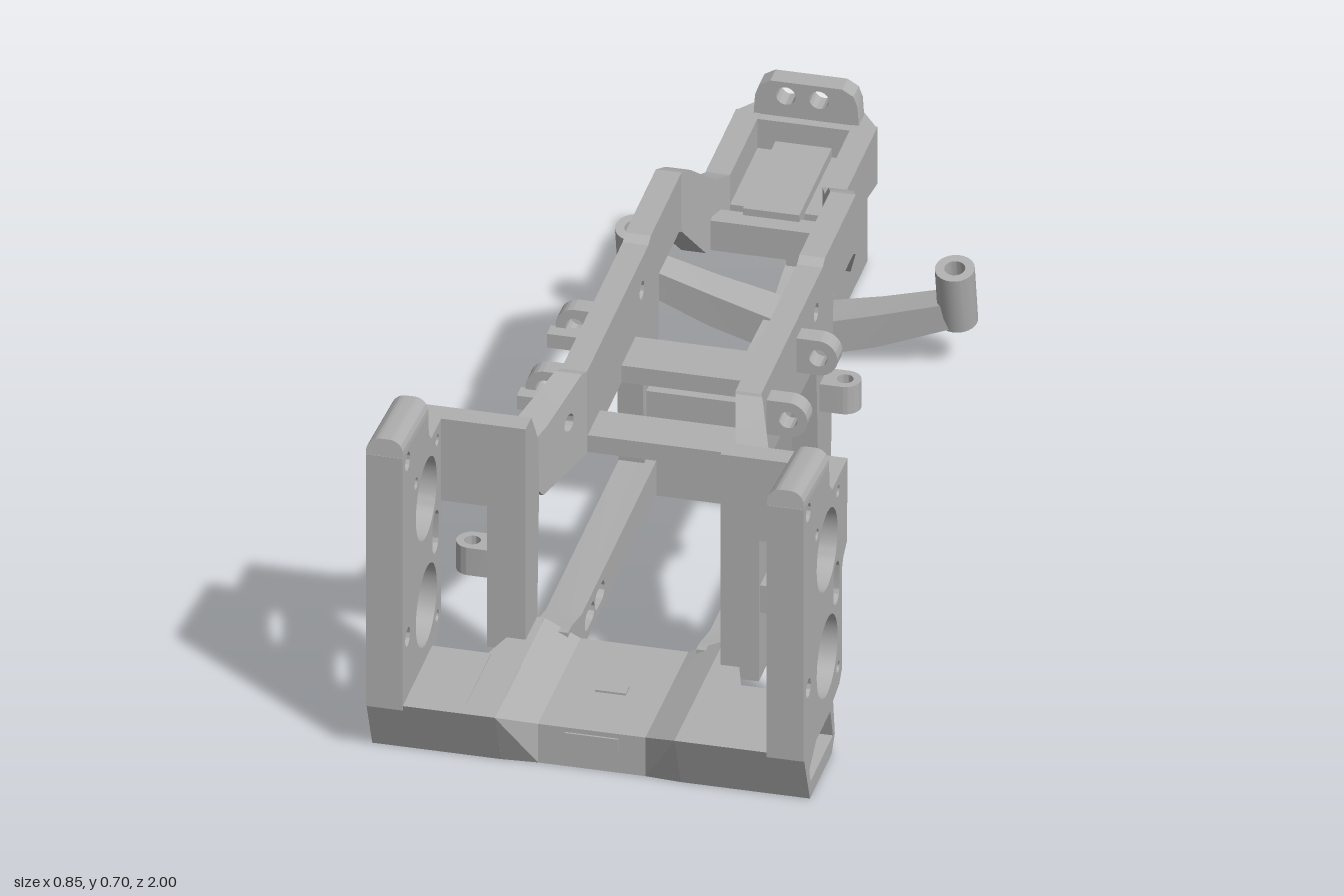
import * as THREE from 'three';
import { toCreasedNormals, mergeVertices } from 'three/addons/utils/BufferGeometryUtils.js';

const grey = new THREE.MeshStandardMaterial({ color: 0xb0b0b0 });
grey.name = 'chassis grey';

export function createModel() {
  const model = new THREE.Group();
  model.name = 'truckChassis';

  const add = (name, geo) => {
    const mesh = new THREE.Mesh(toCreasedNormals(geo, 0.4), grey);
    mesh.name = name;
    model.add(mesh);
  };

  // mirrored copy across x with corner order swapped
  const mirrored = (geo) => {
    const g = geo.index ? geo.toNonIndexed() : geo.clone();
    const p = g.attributes.position;
    const v = [0, 1, 2].map(() => new THREE.Vector3());
    for (let i = 0; i < p.count; i += 3) {
      v.forEach((q, k) => q.fromBufferAttribute(p, i + k));
      [0, 2, 1].forEach((s, k) => p.setXYZ(i + k, -v[s].x, v[s].y, v[s].z));
    }
    return g;
  };
  const pair = (name, geo) => {
    add(name + 'Left', geo);
    add(name + 'Right', mirrored(geo));
  };

  const box = (x0, x1, y0, y1, z0, z1) =>
    new THREE.BoxGeometry(x1 - x0, y1 - y0, z1 - z0)
      .translate((x0 + x1) / 2, (y0 + y1) / 2, (z0 + z1) / 2);

  const vec = (pts) => pts.map((q) => new THREE.Vector2(...q));
  const circle = (x, y, r) => new THREE.Path().absarc(x, y, r, 0, Math.PI * 2, true);
  const slot = (x, y, w, h) => {
    const r = Math.min(w, h) / 2, dx = w / 2 - r, dy = h / 2 - r, q = Math.PI / 2;
    const p = new THREE.Path();
    p.absarc(x + dx, y + dy, r, 0, q, false);
    p.absarc(x - dx, y + dy, r, q, 2 * q, false);
    p.absarc(x - dx, y - dy, r, 2 * q, 3 * q, false);
    p.absarc(x + dx, y - dy, r, 3 * q, 4 * q, false);
    p.closePath();
    return p;
  };
  const extrude = (shape, depth) =>
    new THREE.ExtrudeGeometry(shape, { depth, bevelEnabled: false, curveSegments: 24 });

  // side profile of [z, y] points; inner and outer are the x at any z
  const panel = (pts, inner, outer, holes = []) => {
    const outline = vec(pts.map(([z, y]) => [-z, y]));
    if (THREE.ShapeUtils.isClockWise(outline)) outline.reverse();
    const shape = new THREE.Shape(outline);
    shape.holes = holes;
    const g = extrude(shape, 1).rotateY(Math.PI / 2);
    const p = g.attributes.position;
    const at = (f, z) => (typeof f === 'function' ? f(z) : f);
    for (let i = 0; i < p.count; i++) {
      const z = p.getZ(i);
      p.setX(i, THREE.MathUtils.lerp(at(inner, z), at(outer, z), p.getX(i)));
    }
    return g;
  };
  const slope = (z0, x0, z1, x1) => (z) => x0 + ((x1 - x0) * (z - z0)) / (z1 - z0);

  // skin over rings of [x, y, z] corners, turned outward by signed volume
  const loft = (rings) => {
    const n = rings[0].length, tris = [];
    for (let r = 0; r + 1 < rings.length; r++)
      for (let i = 0; i < n; i++) {
        const j = (i + 1) % n, a = rings[r], b = rings[r + 1];
        tris.push([a[i], a[j], b[j]], [a[i], b[j], b[i]]);
      }
    const last = rings[rings.length - 1];
    for (let i = 1; i + 1 < n; i++)
      tris.push([rings[0][0], rings[0][i + 1], rings[0][i]], [last[0], last[i], last[i + 1]]);
    let volume = 0;
    for (const t of tris) {
      const [a, b, c] = t.map((q) => new THREE.Vector3(...q));
      volume += a.dot(b.cross(c));
    }
    if (volume < 0) tris.forEach((t) => t.reverse());
    const g = new THREE.BufferGeometry();
    g.setAttribute('position', new THREE.Float32BufferAttribute(tris.flat(2), 3));
    return mergeVertices(g);
  };
  const rectZ = (z, w, y0, y1) => [[-w, y0, z], [w, y0, z], [w, y1, z], [-w, y1, z]];
  const halfY = (y, wf, zf, wb, zb) => [[0, y, zf], [wf, y, zf], [wb, y, zb], [0, y, zb]];

  // straight upper rails with the middle posts
  pair('upperRail', panel(
    [[0.4, 0.54], [-0.08, 0.54], [-0.1, 0.55], [-0.34, 0.55], [-0.34, 0.42], [-0.32, 0.43], [-0.165, 0.43],
      [-0.145, 0.06], [-0.05, 0.06], [-0.03, 0.36], [0.4, 0.36]],
    0.145, 0.195, [circle(0.03, 0.47, 0.018)]));

  // rails flaring outward at the front
  pair('railFlare', panel(
    [[0.6, 0.5], [0.555, 0.505], [0.42, 0.545], [0.4, 0.54], [0.4, 0.36], [0.57, 0.36], [0.6, 0.39]],
    slope(0.4, 0.145, 0.6, 0.195), slope(0.4, 0.195, 0.6, 0.265), [circle(-0.47, 0.465, 0.018)]));

  // rails pinching in and running to the tail
  pair('railPinch', panel(
    [[-0.34, 0.55], [-0.37, 0.54], [-0.45, 0.475], [-0.5, 0.46], [-0.5, 0.335], [-0.42, 0.33], [-0.34, 0.42]],
    slope(-0.34, 0.145, -0.5, 0.09), slope(-0.34, 0.195, -0.5, 0.135)));
  pair('rearRail', panel(
    [[-0.5, 0.46], [-0.74, 0.46], [-0.74, 0.335], [-0.65, 0.35], [-0.5, 0.335]], 0.09, 0.138));

  // front posts and the cross walls behind the side plates
  pair('frontPost', panel(
    [[0.7, 0.09], [0.7, 0.58], [0.655, 0.58], [0.6, 0.5], [0.595, 0.38], [0.61, 0.09]], 0.19, 0.265));
  pair('frontWall', box(0.26, 0.36, 0.4, 0.58, 0.655, 0.7));

  // drilled side plates with rounded top caps
  pair('sidePlate', panel(
    [[1, 0.11], [1, 0.665], [0.8, 0.645], [0.795, 0.6], [0.775, 0.58], [0.655, 0.58], [0.66, 0.4],
      [0.69, 0.38], [0.7, 0.36], [0.7, 0.14], [0.72, 0.12], [0.77, 0.11]],
    0.355, 0.427, [
      circle(-0.815, 0.47, 0.082), circle(-0.815, 0.235, 0.082), slot(-0.743, 0.355, 0.048, 0.09),
      circle(-0.962, 0.637, 0.019), circle(-0.962, 0.25, 0.019), circle(-0.895, 0.55, 0.012),
      circle(-0.73, 0.55, 0.012), circle(-0.73, 0.163, 0.012)]));
  const cap = new THREE.Shape();
  cap.moveTo(0.355, -0.001);
  cap.lineTo(0.427, -0.001);
  cap.absarc(0.399, 0.008, 0.028, 0, Math.PI / 2, false);
  cap.absarc(0.383, 0.008, 0.028, Math.PI / 2, Math.PI, false);
  pair('plateCap', extrude(cap, 0.2).rotateX(-0.1).translate(0, 0.645, 0.8));

  // front tray: hollow ends, inner shoulders and a dipped middle
  pair('trayEnd', panel(
    [[1, 0.12], [0.95, 0], [0.78, 0], [0.755, 0.03], [0.77, 0.12]], 0.24, 0.427,
    [new THREE.Path(vec([[-0.955, 0.065], [-0.9, 0.1], [-0.79, 0.1], [-0.77, 0.035], [-0.945, 0.035]]))]));
  pair('trayShoulder', panel(
    [[1, 0.12], [0.95, 0], [0.62, 0], [0.61, 0.115]], 0.175, slope(0.61, 0.2, 0.76, 0.245)));
  const trayRing = (x, zt, zb, y) => [[x, y, zt], [x, 0, zb], [x, 0, 0.61], [x, y - 0.005, 0.61]];
  pair('trayRamp', loft([trayRing(-0.176, 1, 0.95, 0.12), trayRing(-0.105, 0.945, 0.945, 0.085)]));
  add('tray', loft([trayRing(-0.105, 0.945, 0.945, 0.085), trayRing(0.105, 0.945, 0.945, 0.085)]));
  add('traySlotPlate', box(-0.03, 0.03, 0.08, 0.087, 0.77, 0.8));
  add('frontSlotPlate', box(-0.052, 0.052, 0.044, 0.075, 0.941, 0.949));

  // slotted lower rails
  pair('lowerRail', panel(
    [[0.63, 0.1], [0.6, 0.098], [0.52, 0.078], [-0.1, 0.078], [-0.155, 0.07], [-0.155, 0], [0.63, 0]],
    0.125, 0.195, [slot(-0.46, 0.038, 0.075, 0.038), slot(-0.38, 0.038, 0.075, 0.038)]));

  // middle web and the narrow rear spine
  add('crossWeb', box(-0.146, 0.146, 0, 0.228, -0.15, -0.065));
  add('spine', loft([rectZ(-0.15, 0.19, 0, 0.072), rectZ(-0.21, 0.1, 0, 0.078),
    rectZ(-0.25, 0.06, 0, 0.08), rectZ(-0.7, 0.055, 0, 0.075), rectZ(-0.8, 0.055, 0, 0.1)]));

  // cross bars joining the upper rails
  for (const [z0, z1] of [[0.02, 0.13], [0.3, 0.395]]) add('crossBar', box(-0.147, 0.147, 0.36, 0.397, z0, z1));
  add('rearCrossBar', box(-0.11, 0.11, 0.335, 0.4, -0.47, -0.425));

  // rear deck, its end wall and the drilled tower
  add('rearDeck', box(-0.1, 0.1, 0.34, 0.395, -0.75, -0.5));
  add('deckRidge', box(-0.055, 0.055, 0.38, 0.415, -0.735, -0.46));
  add('deckEndWall', box(-0.1, 0.1, 0.38, 0.459, -0.76, -0.715));
  const tower = new THREE.Shape(vec([[-0.105, 0.42], [0.105, 0.42], [0.1, 0.5], [0.092, 0.522], [0.07, 0.535],
    [-0.07, 0.535], [-0.092, 0.522], [-0.1, 0.5]]));
  tower.holes.push(circle(-0.04, 0.505, 0.019), circle(0.025, 0.505, 0.019));
  add('rearTower', extrude(tower, 0.042).translate(0, 0, -0.777));

  // tail block with a square socket at the back
  pair('tailBlock', loft([halfY(0.215, 0.05, -0.79, 0.053, -1), halfY(0.285, 0.05, -0.785, 0.053, -0.92),
    halfY(0.34, 0.115, -0.735, 0.055, -0.855), halfY(0.46, 0.138, -0.735, 0.09, -0.8)]));
  const socket = new THREE.Shape(vec([[-0.053, 0], [0.053, 0], [0.053, 0.22], [-0.053, 0.22]]));
  socket.holes.push(new THREE.Path(vec([[-0.032, 0.03], [-0.032, 0.19], [0.032, 0.19], [0.032, 0.03]])));
  add('tailSocket', extrude(socket, 0.21).translate(0, 0, -1));
  add('socketWall', box(-0.05, 0.05, 0.01, 0.22, -0.82, -0.79));

  // rear arms carrying tilted damper cups
  const armRing = (x, y0, y1, z0, z1) => [[x, y0, z0], [x, y0, z1], [x, y1, z1], [x, y1, z0]];
  pair('rearArm', loft([armRing(0.04, 0.01, 0.08, -0.71, -0.62), armRing(0.16, 0.04, 0.11, -0.705, -0.63),
    armRing(0.31, 0.1, 0.155, -0.7, -0.635)]));
  const cup = new THREE.LatheGeometry(vec([[0.02, 0], [0.038, 0], [0.038, 0.13], [0.02, 0.13], [0.02, 0]]), 24);
  pair('damperCup', cup.rotateX(0.2).translate(0.312, 0.1, -0.672));

  // body mount tabs
  const tab = (w, h, hole) => {
    const s = new THREE.Shape();
    const r = h / 2;
    s.moveTo(0, 0);
    s.lineTo(w - r, 0);
    s.absarc(w - r, r, r, -Math.PI / 2, Math.PI / 2, false);
    s.lineTo(0, h);
    s.holes.push(circle(w - r, r, hole));
    return s;
  };
  for (const z of [0.085, 0.32]) {
    pair('bodyTab', extrude(tab(0.085, 0.075, 0.018), 0.04).translate(0.19, 0.428, z));
    add('tabBoss', box(-0.285, -0.19, 0.43, 0.46, z + 0.035, z + 0.068));
  }
  const flatTab = (w, d) => extrude(tab(w, d, 0.016), 0.06).rotateX(-Math.PI / 2);
  pair('middleTab', flatTab(0.08, 0.062).translate(0.188, 0.236, -0.058));
  pair('frontTab', flatTab(0.085, 0.062).translate(0.25, 0.236, 0.69));

  return model;
}
